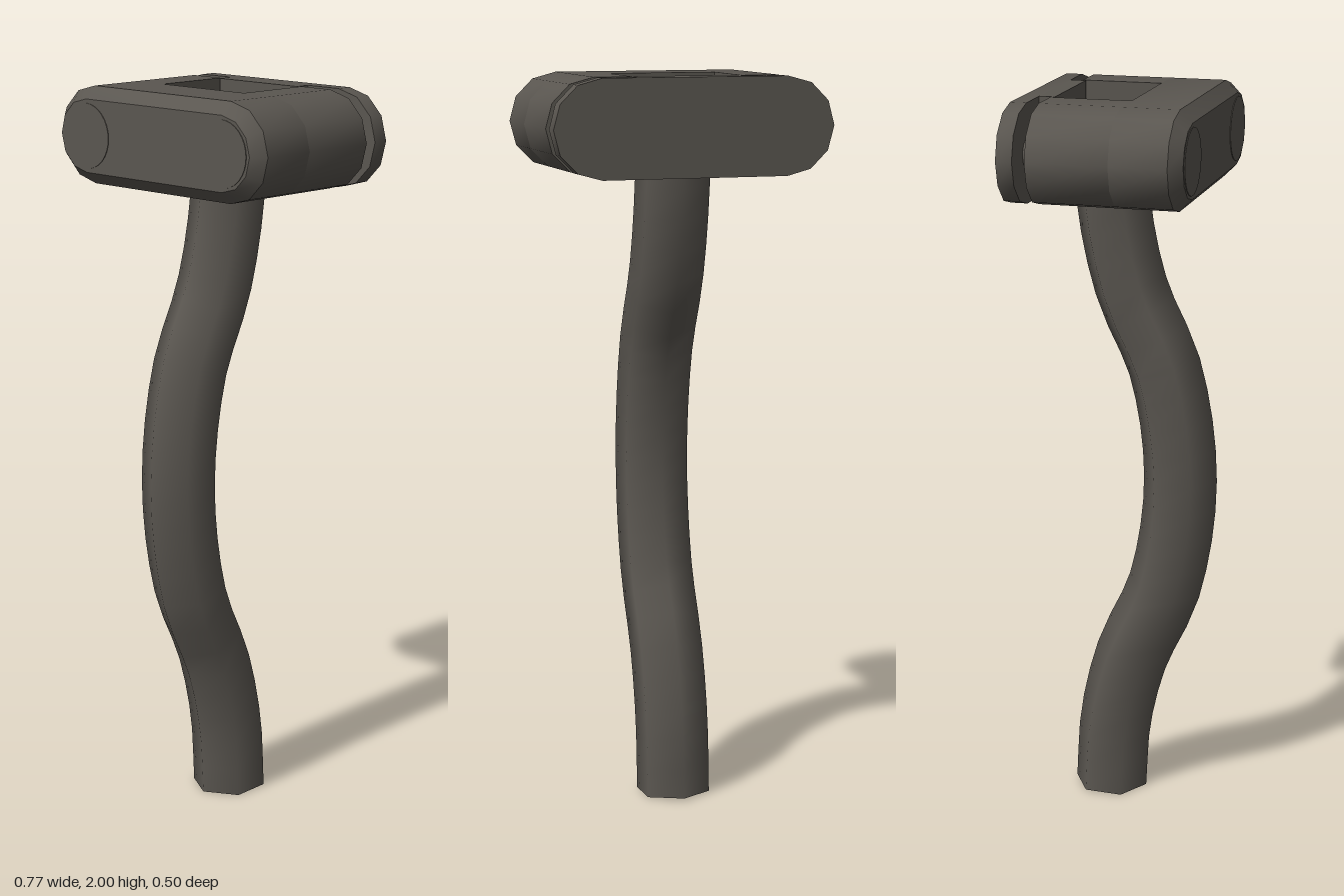
import * as THREE from 'three';
import { toCreasedNormals } from 'three/addons/utils/BufferGeometryUtils.js';

const R = 0.1315;      // radius of the rounded head ends
const CX = 0.255;      // x of the rounded end centres and bolts
const HEAD_Y = 1.8685; // height of the head's middle
const SLOT = 0.152;    // half width of the slot

// Outline with a faceted half-round right end and either a flat or a round left end
function endOutline(flatX) {
  const pts = [];
  const arc = (cx, start) => {
    for (let i = 0; i <= 6; i++) {
      const a = start + (i / 6) * Math.PI;
      pts.push(new THREE.Vector2(cx + R * Math.cos(a), R * Math.sin(a)));
    }
  };
  arc(CX, -Math.PI / 2);
  if (flatX === undefined) arc(-CX, Math.PI / 2);
  else pts.push(new THREE.Vector2(flatX, R), new THREE.Vector2(flatX, -R));
  return new THREE.Shape(pts);
}

function slab(shape, z0, z1, steps = 1) {
  const g = new THREE.ExtrudeGeometry(shape, { depth: z1 - z0, steps, bevelEnabled: false });
  return g.translate(0, 0, z0);
}

// Front block whose front rim is chamfered
function frontBlock() {
  const z0 = 0.045, zRim = 0.2, z1 = 0.233;
  const g = slab(endOutline(), z0, z1, 2);
  const p = g.attributes.position;
  for (let i = 0; i < p.count; i++) {
    const x = p.getX(i), y = p.getY(i), z = p.getZ(i);
    if (z > z1 - 0.01) {
      const c = THREE.MathUtils.clamp(x, -CX, CX);
      p.setXY(i, c + (x - c) * 0.75, y * 0.75);
    } else if (z > z0 + 0.01) p.setZ(i, zRim);
  }
  return toCreasedNormals(g, 0.6);
}

// Hexagonal open tube bent along a curve in the y-z plane
function bentTube() {
  const path = new THREE.CatmullRomCurve3([
    [0, -0.056], [0.2, -0.043], [0.4, 0.005], [0.62, 0.1], [0.93, 0.143],
    [1.24, 0.1], [1.46, 0.005], [1.67, -0.043], [1.87, -0.058],
  ].map(([y, z]) => new THREE.Vector3(0, y, z)));
  const g = new THREE.CylinderGeometry(0.1035, 0.1035, 1, 6, 24, true);
  const p = g.attributes.position, n = g.attributes.normal;
  for (let i = 0; i < p.count; i++) {
    const t = THREE.MathUtils.clamp(p.getY(i) + 0.5, 0, 1);
    const c = path.getPointAt(t), d = path.getTangentAt(t);
    const z = p.getZ(i), nz = n.getZ(i);
    p.setXYZ(i, p.getX(i), Math.max(0, c.y - d.z * z), c.z + d.y * z);
    n.setXYZ(i, n.getX(i), -d.z * nz, d.y * nz);
  }
  return g;
}

export function createModel() {
  const model = new THREE.Group();
  const metal = new THREE.MeshStandardMaterial({ color: 0x5a5650, side: THREE.DoubleSide });
  const add = (parent, name, geometry, x = 0, y = 0, z = 0) => {
    const m = new THREE.Mesh(geometry, metal);
    m.name = name;
    m.position.set(x, y, z);
    parent.add(m);
    return m;
  };

  add(model, 'handleTube', bentTube());

  // Clamp head
  const head = new THREE.Group();
  head.name = 'clampHead';
  head.position.y = HEAD_Y;
  model.add(head);
  add(head, 'headFront', frontBlock());
  const arm = toCreasedNormals(slab(endOutline(SLOT), -0.175, 0.045), 0.6);
  for (const [side, s] of [['left', 1], ['right', -1]]) {
    // Arms beside the slot, bolts and bolt heads
    add(head, side + 'Arm', arm).rotation.z = s > 0 ? 0 : Math.PI;
    const bolt = new THREE.CylinderGeometry(0.0385, 0.0385, 0.05, 16).rotateX(Math.PI / 2);
    add(head, side + 'Bolt', bolt, s * CX, 0, -0.192);
    const cap = new THREE.CylinderGeometry(0.088, 0.088, 0.006, 32).rotateX(Math.PI / 2);
    add(head, side + 'BoltHead', cap, s * CX, 0, 0.232);
  }

  // Back plate with the tongue that closes the slot
  add(head, 'backPlate', toCreasedNormals(slab(endOutline(), -0.252, -0.208), 0.6));
  add(head, 'plateTongue', new THREE.BoxGeometry(0.29, 2 * R, 0.043), 0, 0, -0.1865);

  return model;
}
